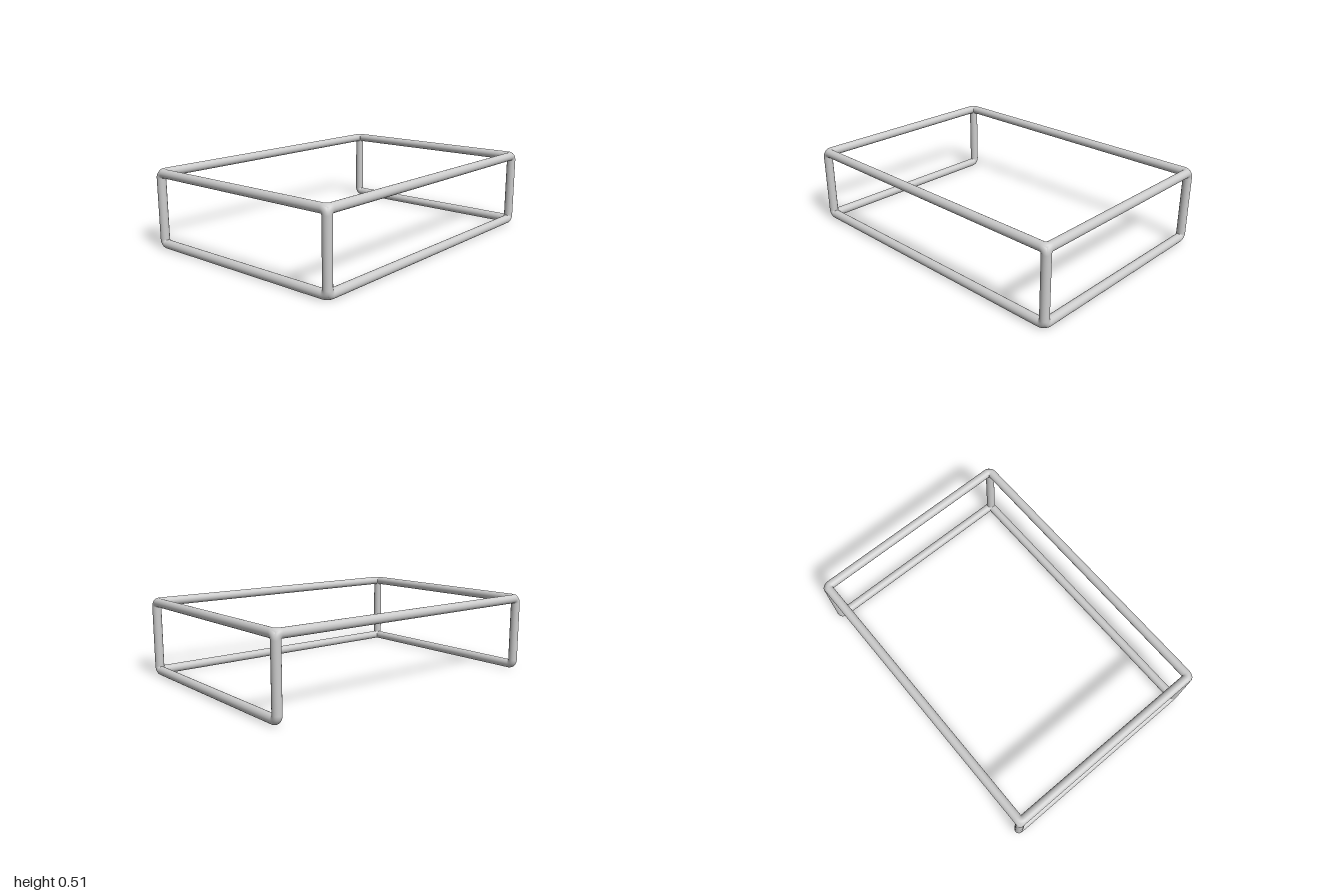
import * as THREE from 'three';

const R = 0.0285;          // tube radius
const BEND = 0.03;         // centreline radius of the elbows
const SEG = 32;
const X = 1 - R, Z = 0.715 - R, Y0 = R, Y1 = 0.51 - R;

export function createModel() {
  const group = new THREE.Group();
  const material = new THREE.MeshStandardMaterial({ color: 0xcccccc, side: THREE.DoubleSide });
  const up = new THREE.Vector3(0, 1, 0);
  const v = (x, y, z) => new THREE.Vector3(x, y, z);

  // Straight tube between two corners, shortened to meet the elbows
  function rail(name, a, b) {
    const dir = b.clone().sub(a);
    const geometry = new THREE.CylinderGeometry(R, R, dir.length() - 2 * BEND, SEG, 1, true);
    const mesh = new THREE.Mesh(geometry, material);
    mesh.name = name;
    mesh.position.copy(a).add(b).multiplyScalar(0.5);
    mesh.quaternion.setFromUnitVectors(up, dir.normalize());
    group.add(mesh);
  }

  // Quarter bend joining two rails that leave a corner along a and b
  function elbow(corner, a, b) {
    const mesh = new THREE.Mesh(new THREE.TorusGeometry(BEND, R, SEG, 12, Math.PI / 2), material);
    const ex = a.clone().negate(), ey = b.clone().negate();
    mesh.quaternion.setFromRotationMatrix(
      new THREE.Matrix4().makeBasis(ex, ey, ex.clone().cross(ey)));
    mesh.position.copy(corner).addScaledVector(a, BEND).addScaledVector(b, BEND);
    mesh.name = 'cornerElbow';
    group.add(mesh);
  }

  // Cross rails: the lower back stays open
  rail('topFrontRail', v(-X, Y1, Z), v(X, Y1, Z));
  rail('topBackRail', v(-X, Y1, -Z), v(X, Y1, -Z));
  rail('bottomFrontRail', v(-X, Y0, Z), v(X, Y0, Z));

  for (const sx of [-1, 1]) {
    const side = sx > 0 ? 'Left' : 'Right';
    // Side rails
    rail(`top${side}Rail`, v(sx * X, Y1, -Z), v(sx * X, Y1, Z));
    rail(`bottom${side}Rail`, v(sx * X, Y0, -Z), v(sx * X, Y0, Z));

    for (const sz of [-1, 1]) {
      // Upright posts
      rail(`${sz > 0 ? 'front' : 'back'}${side}Post`, v(sx * X, Y0, sz * Z), v(sx * X, Y1, sz * Z));

      // Corner joints
      for (const sy of [-1, 1]) {
        const corner = v(sx * X, sy > 0 ? Y1 : Y0, sz * Z);
        const dx = v(-sx, 0, 0), dy = v(0, -sy, 0), dz = v(0, 0, -sz);
        elbow(corner, dy, dz);
        if (sy > 0 || sz > 0) {
          elbow(corner, dx, dy);
          elbow(corner, dx, dz);
        }
      }
    }
  }
  return group;
}
